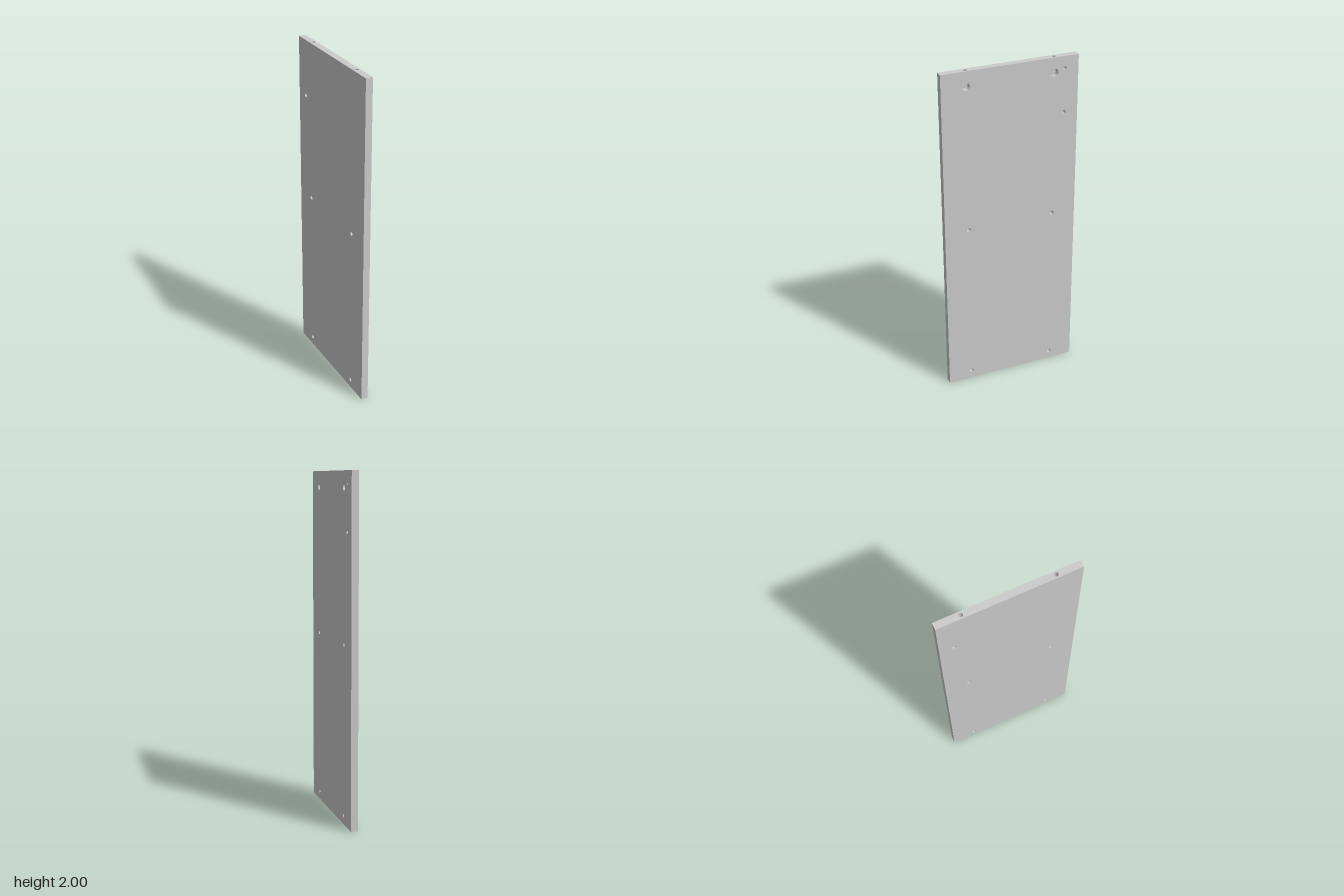
import * as THREE from 'three';

const H = 2, D = 0.812, T = 0.041;            // height, depth, thickness
const X = T / 2, SEG = 32;
const POCKET = { y: 1.912, r: 0.022, floor: -0.0135 };
const BORE_R = 0.012;
const LOCKS = [-0.261, 0.261];                // z of the two fitting pockets
const THROUGH = [[-0.322, 1.669], [-0.261, 1.04], [0.261, 1.04], [-0.261, 0.052], [0.261, 0.052]];
const THROUGH_R = 0.0125;
const PILOT = { z: -0.322, y: 1.93, r: 0.0095, floor: -0.008 };

const material = new THREE.MeshStandardMaterial({ color: 0xcccccc });
const wallMaterial = new THREE.MeshStandardMaterial({ color: 0xcccccc, side: THREE.DoubleSide });

function add(parent, name, geometry, mat = material) {
  const mesh = new THREE.Mesh(geometry, mat);
  mesh.name = name;
  parent.add(mesh);
  return mesh;
}

// Flat rectangle with round holes, each given as [x, y, radius]
function drilledSheet(x0, y0, x1, y1, holes) {
  const shape = new THREE.Shape();
  shape.moveTo(x0, y0).lineTo(x1, y0).lineTo(x1, y1).lineTo(x0, y1).closePath();
  for (const [x, y, r] of holes) {
    shape.holes.push(new THREE.Path().absarc(x, y, r, 0, Math.PI * 2, true));
  }
  return new THREE.ShapeGeometry(shape, SEG);
}

// Ruled strip; edge(t) returns the two end points for t between t0 and t1
function strip(t0, t1, n, edge) {
  const pos = [], index = [];
  for (let i = 0; i <= n; i++) {
    const [a, b] = edge(t0 + (t1 - t0) * i / n);
    pos.push(...a, ...b);
    if (i < n) index.push(2 * i, 2 * i + 1, 2 * i + 2, 2 * i + 1, 2 * i + 3, 2 * i + 2);
  }
  const g = new THREE.BufferGeometry();
  g.setAttribute('position', new THREE.Float32BufferAttribute(pos, 3));
  g.setIndex(index);
  g.computeVertexNormals();
  return g;
}

// Wall of a round hole drilled along x
function drillWall(parent, name, z, y, r, from, to) {
  const g = new THREE.CylinderGeometry(r, r, to - from, SEG, 1, true).rotateZ(Math.PI / 2);
  add(parent, name, g, wallMaterial).position.set((from + to) / 2, y, z);
}

function drillFloor(parent, name, z, y, r, x) {
  add(parent, name, new THREE.CircleGeometry(r, SEG).rotateY(Math.PI / 2)).position.set(x, y, z);
}

// Pocket open to the left face, met from above by a bore through the top edge
function lockPocket(z) {
  const g = new THREE.Group();
  g.name = 'lockPocket';
  const { y, r, floor } = POCKET;
  const open = Math.asin(BORE_R / r);
  const at = (x, a) => [x, y + r * Math.cos(a), r * Math.sin(a)];
  const half = a => Math.sqrt(Math.max(0, BORE_R ** 2 - (r * Math.sin(a)) ** 2));

  add(g, 'pocketWall', strip(open, Math.PI * 2 - open, 28, a => [at(X, a), at(floor, a)]), wallMaterial);
  // Wall on either side of the bore opening
  add(g, 'pocketWallOuter', strip(-open, open, 16, a => [at(X, a), at(half(a), a)]), wallMaterial);
  add(g, 'pocketWallInner', strip(-open, open, 16, a => [at(-half(a), a), at(floor, a)]), wallMaterial);
  drillFloor(g, 'pocketFloor', 0, y, r, floor);

  add(g, 'topBore', strip(0, Math.PI * 2, SEG, a => {
    const bx = BORE_R * Math.cos(a), bz = BORE_R * Math.sin(a);
    return [[bx, H, bz], [bx, y + Math.sqrt(r * r - bz * bz), bz]];
  }), wallMaterial);
  g.position.z = z;
  return g;
}

export function createModel() {
  const model = new THREE.Group();
  model.name = 'drilledPanel';

  // Broad faces
  const leftHoles = [
    ...THROUGH.map(([z, y]) => [-z, y, THROUGH_R]),
    ...LOCKS.map(z => [-z, POCKET.y, POCKET.r]),
    [-PILOT.z, PILOT.y, PILOT.r],
  ];
  const rightHoles = THROUGH.map(([z, y]) => [z, y, THROUGH_R]);
  add(model, 'leftFace', drilledSheet(-D / 2, 0, D / 2, H, leftHoles).rotateY(Math.PI / 2)).position.x = X;
  add(model, 'rightFace', drilledSheet(-D / 2, 0, D / 2, H, rightHoles).rotateY(-Math.PI / 2)).position.x = -X;

  // Narrow edges
  const topHoles = LOCKS.map(z => [0, -z, BORE_R]);
  add(model, 'topEdge', drilledSheet(-X, -D / 2, X, D / 2, topHoles).rotateX(-Math.PI / 2)).position.y = H;
  add(model, 'bottomEdge', new THREE.PlaneGeometry(T, D).rotateX(Math.PI / 2));
  add(model, 'frontEdge', new THREE.PlaneGeometry(T, H)).position.set(0, H / 2, D / 2);
  add(model, 'backEdge', new THREE.PlaneGeometry(T, H).rotateY(Math.PI)).position.set(0, H / 2, -D / 2);

  // Holes
  for (const [z, y] of THROUGH) drillWall(model, 'throughHole', z, y, THROUGH_R, -X, X);
  drillWall(model, 'pilotHole', PILOT.z, PILOT.y, PILOT.r, PILOT.floor, X);
  drillFloor(model, 'pilotHoleFloor', PILOT.z, PILOT.y, PILOT.r, PILOT.floor);
  for (const z of LOCKS) model.add(lockPocket(z));

  return model;
}
